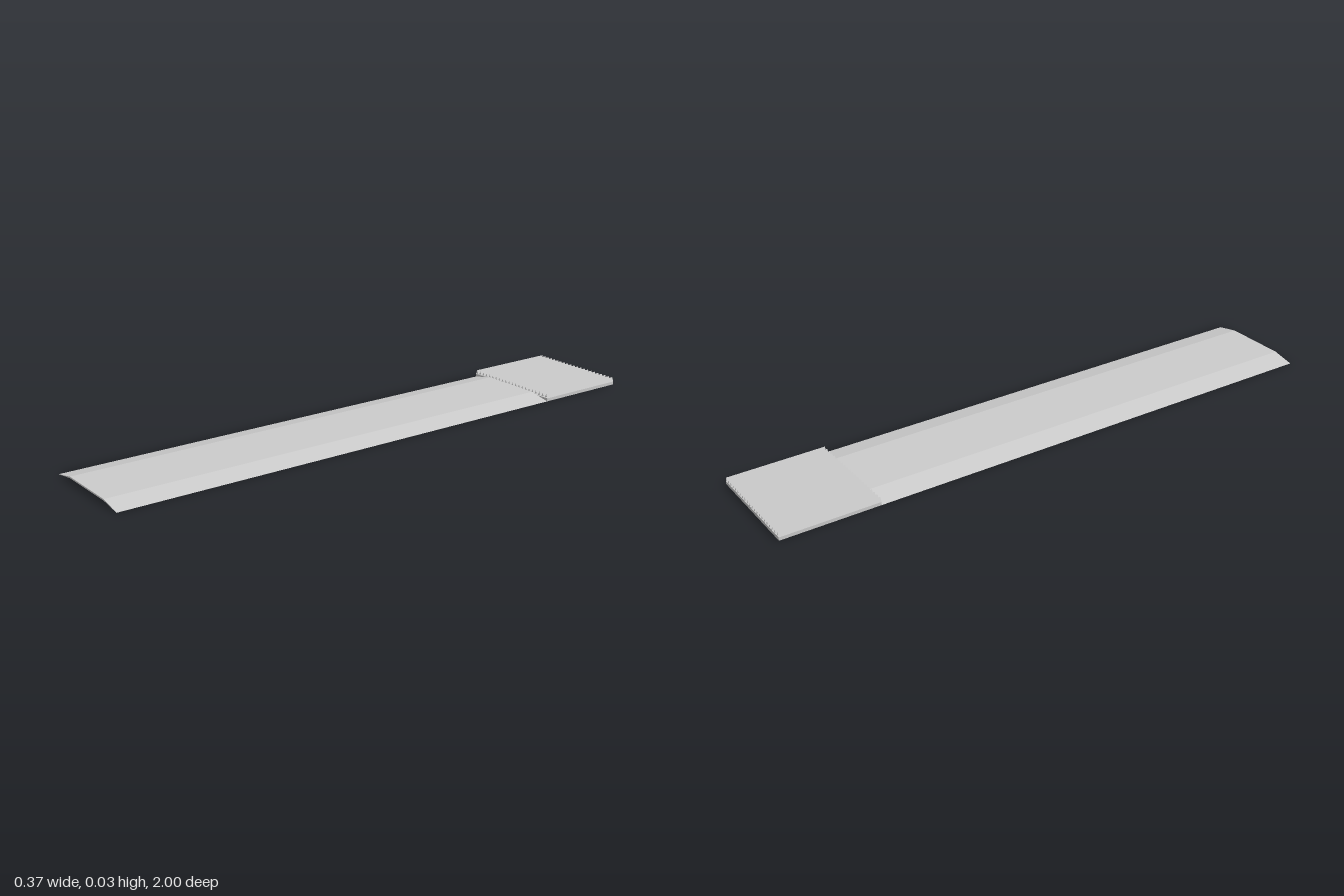
import * as THREE from 'three';

const HALF_W = 0.187, BACK = -1, SEAM = -0.667, FRONT = 1;
const BASE_H = 0.011, RIDGE_H = 0.026;

export function createModel() {
  const model = new THREE.Group();
  const grey = new THREE.MeshStandardMaterial({
    color: 0xcccccc, flatShading: true, side: THREE.DoubleSide,
  });
  const add = (name, geometry, parent = model) => {
    const mesh = new THREE.Mesh(geometry, grey);
    mesh.name = name;
    parent.add(mesh);
    return mesh;
  };

  // Long blade: a shallow arched section, hollow underneath
  const section = new THREE.Shape([
    [-HALF_W, 0], [-0.11, 0.011], [0.11, 0.011], [HALF_W, 0],
    [0.11, 0.016], [-0.11, 0.016],
  ].map(([x, y]) => new THREE.Vector2(x, y)));
  const blade = new THREE.ExtrudeGeometry(section, { depth: FRONT - SEAM, bevelEnabled: false });
  blade.translate(0, 0, SEAM);
  add('blade', blade);

  // Flat plate under the grip
  const depth = SEAM - BACK;
  const plate = new THREE.BoxGeometry(HALF_W * 2, BASE_H, depth);
  plate.translate(0, BASE_H / 2, BACK + depth / 2);
  add('gripPlate', plate);

  // Row of open-ended, tent-shaped ridges running lengthwise
  const ridges = new THREE.Group();
  ridges.name = 'gripRidges';
  model.add(ridges);
  const tent = new THREE.PlaneGeometry(0.013, depth, 2, 1).rotateX(-Math.PI / 2);
  const pos = tent.attributes.position;
  for (let i = 0; i < pos.count; i++) {
    pos.setY(i, Math.abs(pos.getX(i)) < 1e-5 ? RIDGE_H : BASE_H);
  }
  tent.computeVertexNormals();
  const count = 22, pitch = 0.0172;
  for (let i = 0; i < count; i++) {
    add('ridge', tent, ridges).position.set((i - (count - 1) / 2) * pitch, 0, BACK + depth / 2);
  }

  return model;
}
